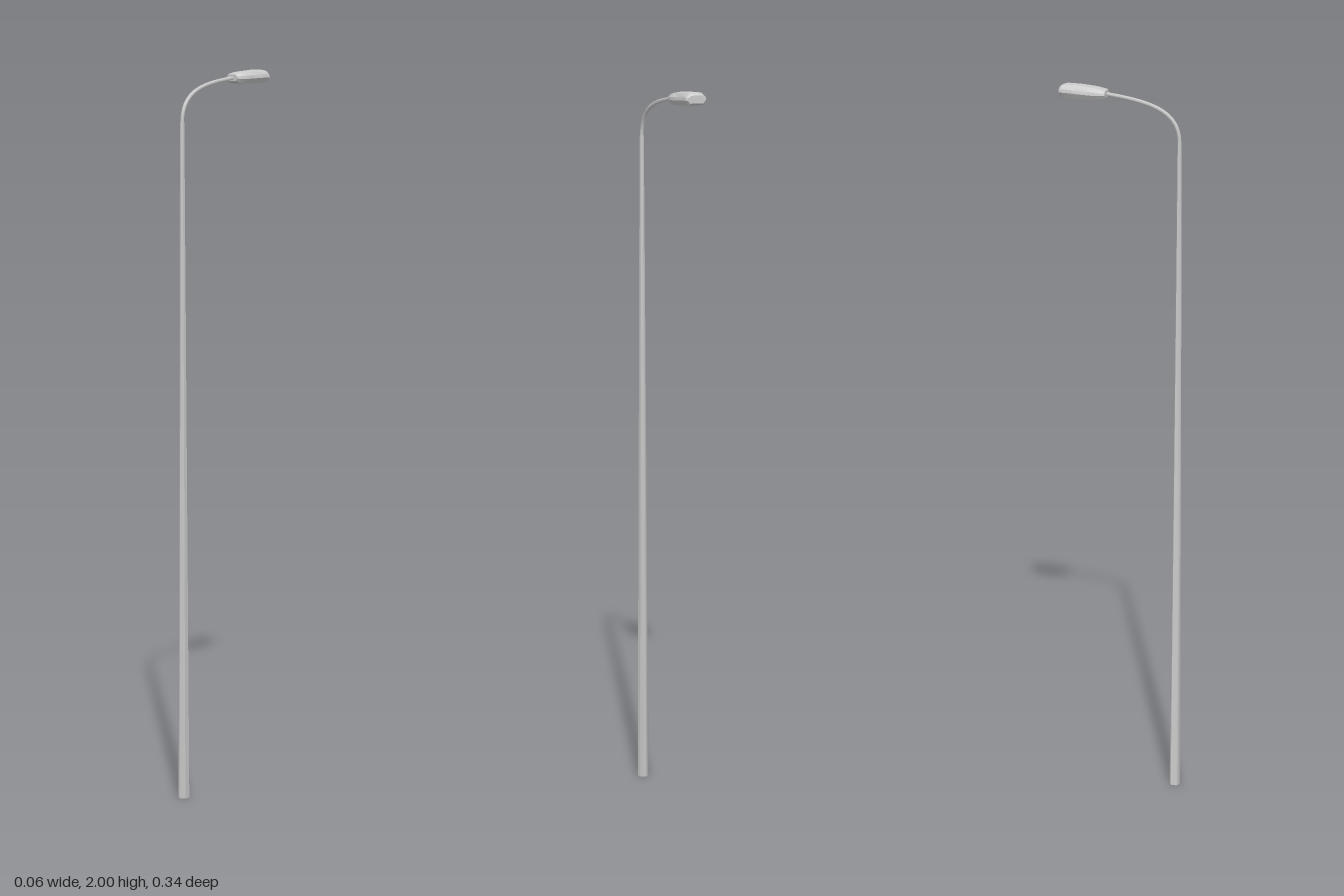
import * as THREE from 'three';
import { toCreasedNormals } from 'three/addons/utils/BufferGeometryUtils.js';

const POLE_Z = 0.156;

// Lofts rings of equal point count into a closed skin with end caps.
function loft(rings) {
  const n = rings[0].length;
  const pos = rings.flat(2);
  const index = [];
  for (let r = 0; r < rings.length - 1; r++) {
    for (let i = 0; i < n; i++) {
      const j = (i + 1) % n;
      const a = r * n + i, b = r * n + j, c = a + n, d = b + n;
      index.push(a, c, b, b, c, d);
    }
  }
  const last = (rings.length - 1) * n;
  for (let i = 1; i < n - 1; i++) {
    index.push(0, i, i + 1);
    index.push(last, last + i + 1, last + i);
  }
  const geo = new THREE.BufferGeometry();
  geo.setAttribute('position', new THREE.Float32BufferAttribute(pos, 3));
  geo.setIndex(index);
  return toCreasedNormals(geo, 0.6);
}

// Lamp housing outline at one station, counter-clockwise seen from +z.
// The underside carries a recess of the given depth.
function headRing([z, w, bottom, top, recess]) {
  const h = top - bottom;
  const half = [
    [0.58, bottom + recess],
    [0.58, bottom],
    [0.72, bottom],
    [1, bottom + h * 0.38],
    [0.96, bottom + h * 0.64],
    [0.64, bottom + h * 0.94],
  ];
  const right = half.map(([x, y]) => [x * w, y, z]);
  const left = half.map(([x, y]) => [-x * w, y, z]).reverse();
  return [...right, [0, top, z], ...left];
}

export function createModel() {
  const group = new THREE.Group();
  const material = new THREE.MeshStandardMaterial({ color: 0xcccccc });
  const add = (name, geometry) => {
    const mesh = new THREE.Mesh(geometry, material);
    mesh.name = name;
    group.add(mesh);
    return mesh;
  };

  // Tapered six-sided pole
  const poleHeight = 1.86;
  const pole = add('pole', toCreasedNormals(
    new THREE.CylinderGeometry(0.006, 0.016, poleHeight, 6), 1.2));
  pole.position.set(0, poleHeight / 2, POLE_Z);

  // Curved arm reaching back to the lamp
  const armPath = new THREE.CubicBezierCurve3(
    new THREE.Vector3(0, 1.855, POLE_Z),
    new THREE.Vector3(0, 1.94, POLE_Z),
    new THREE.Vector3(0, 1.962, 0.08),
    new THREE.Vector3(0, 1.977, -0.055));
  add('arm', new THREE.TubeGeometry(armPath, 16, 0.0055, 6));

  // Lamp housing: z, half width, bottom, top, recess depth
  const stations = [
    [-0.045, 0.021, 1.968, 1.986, 0],
    [-0.048, 0.023, 1.965, 1.989, 0],
    [-0.078, 0.0295, 1.961, 1.995, 0],
    [-0.0785, 0.0295, 1.961, 1.995, 0.006],
    [-0.12, 0.03, 1.962, 1.999, 0.006],
    [-0.1575, 0.03, 1.965, 2.0, 0.006],
    [-0.158, 0.03, 1.965, 2.0, 0],
    [-0.168, 0.0295, 1.967, 1.997, 0],
    [-0.172, 0.027, 1.971, 1.992, 0],
  ];
  add('lampHead', loft(stations.map(headRing)));

  return group;
}
